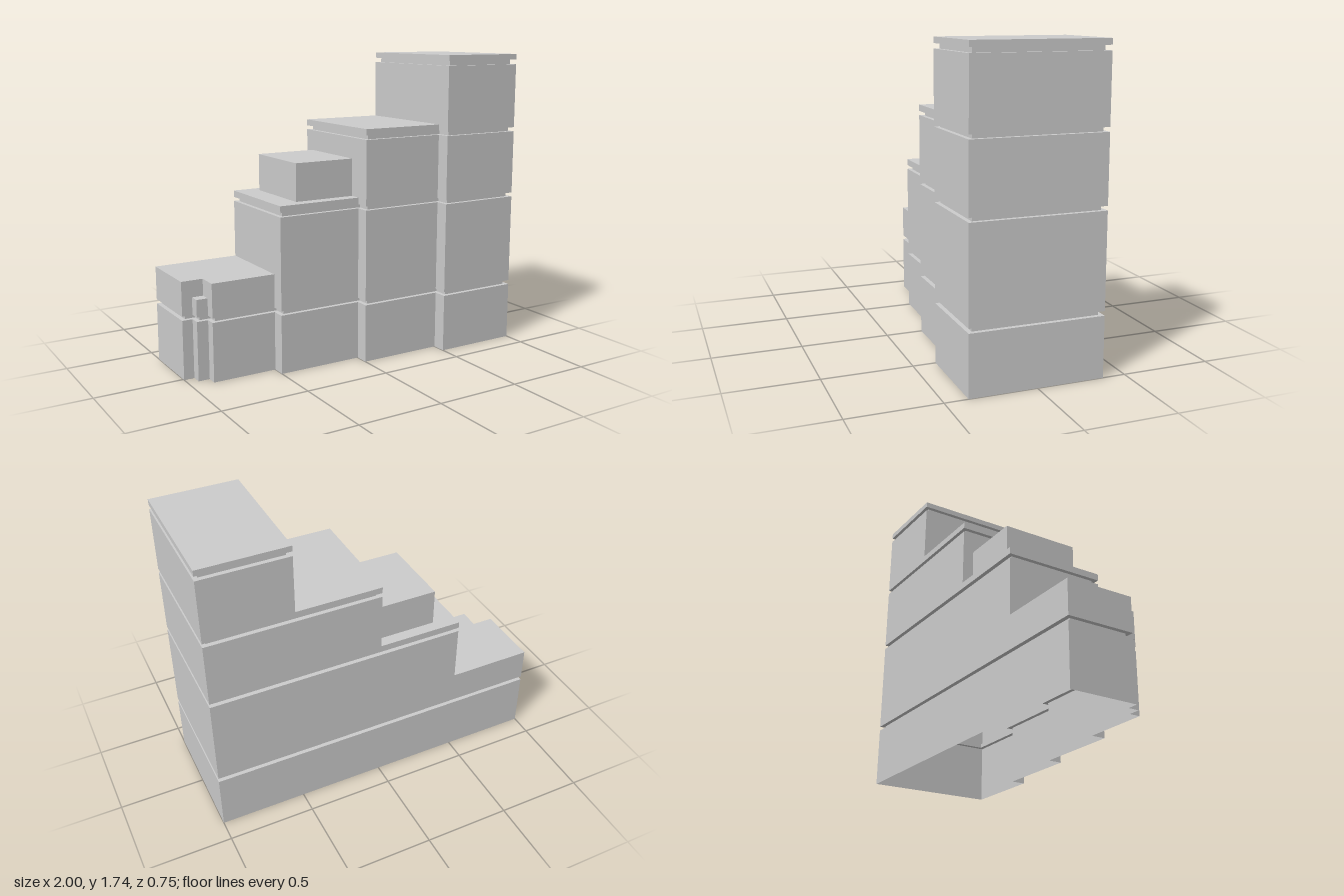
import * as THREE from 'three';
import { mergeGeometries } from 'three/addons/utils/BufferGeometryUtils.js';

const BACK = -0.373, INSET = 0.025;
// Front facade steps: left edge x and front z of each bay
const BAYS = [[-1, 0.01], [-0.94, 0.07], [-0.875, 0.13], [-0.5, 0.21], [0, 0.29], [0.5, 0.372]];

const material = new THREE.MeshStandardMaterial({ color: 0xcccccc, flatShading: true, side: THREE.DoubleSide });

// Plan outline [x, z] of all bays from index k to the right end, inset by d
function outline(k, d = 0) {
  const pts = [[BAYS[k][0] + d, BACK + d]];
  for (let i = k; i < BAYS.length; i++) {
    const z = BAYS[i][1] - d;
    pts.push([BAYS[i][0] + d, z], [i + 1 < BAYS.length ? BAYS[i + 1][0] + d : 1 - d, z]);
  }
  pts.push([1 - d, BACK + d]);
  return pts;
}

// Vertical walls along a plan polyline
function wall(pts, y0, y1, closed = false) {
  const pos = [];
  const path = closed ? [...pts, pts[0]] : pts;
  for (let i = 0; i + 1 < path.length; i++) {
    const [ax, az] = path[i], [bx, bz] = path[i + 1];
    pos.push(ax, y0, az, bx, y0, bz, bx, y1, bz, ax, y0, az, bx, y1, bz, ax, y1, az);
  }
  const g = new THREE.BufferGeometry();
  g.setAttribute('position', new THREE.Float32BufferAttribute(pos, 3));
  g.computeVertexNormals();
  return g;
}

// Horizontal slab face, optionally with a hole
function flat(pts, y, hole) {
  const v = (list) => list.map(([x, z]) => new THREE.Vector2(x, -z));
  const shape = new THREE.Shape(v(pts));
  if (hole) shape.holes.push(new THREE.Path(v(hole)));
  const g = new THREE.ShapeGeometry(shape).toNonIndexed().rotateX(-Math.PI / 2).translate(0, y, 0);
  g.deleteAttribute('uv');
  return g;
}

export function createModel() {
  const group = new THREE.Group();
  const add = (name, ...geos) => {
    const m = new THREE.Mesh(mergeGeometries(geos), material);
    m.name = name;
    group.add(m);
  };

  // Recessed joint between two storeys
  const groove = (k, y0, y1) => {
    const o = outline(k), n = outline(k, INSET);
    add('recessedJoint', flat(o, y0, n), wall(n, y0, y1, true), flat(o, y1, n));
  };

  // Storey walls of the taller part, starting above the lower wing's roof on its left
  const storey = (k, base, wingTop, top) => {
    const x = BAYS[k][0], zPrev = BAYS[k - 1][1];
    add('storeyWalls',
      wall([[x, zPrev], ...outline(k).slice(1), [x, BACK]], base, top),
      wall([[x, BACK], [x, zPrev]], wingTop, top));
  };

  // Single-bay terrace wing
  const terrace = (k, base, top) => {
    const [x, z] = BAYS[k], x1 = BAYS[k + 1][0];
    const p = [[x1, BACK], [x, BACK], [x, z], [x1, z]];
    add('terrace', wall(p, base, top), flat(p, top));
  };

  // Ground storey, open underneath
  add('groundStorey', wall(outline(0), 0, 0.337, true));
  groove(0, 0.337, 0.362);

  // Low left wing with its small stepped corner
  const b = 0.362, s = 0.46, t = 0.555;
  add('lowWing',
    wall([[-0.5, BACK], [-1, BACK], [-1, 0.01], [-0.94, 0.01]], b, t),
    wall([[-0.94, 0.01], [-0.875, 0.01], [-0.875, 0.07]], s, t),
    wall([[-0.875, 0.07], [-0.875, 0.13], [-0.5, 0.13]], b, t),
    flat([[-0.5, BACK], [-1, BACK], [-1, 0.01], [-0.875, 0.01], [-0.875, 0.13], [-0.5, 0.13]], t));
  add('cornerStep',
    wall([[-0.94, 0.01], [-0.94, 0.07], [-0.875, 0.07]], b, s),
    flat([[-0.94, 0.01], [-0.94, 0.07], [-0.875, 0.07], [-0.875, 0.01]], s));

  // Second storey
  storey(3, 0.362, 0.555, 0.888);
  groove(3, 0.888, 0.912);
  terrace(3, 0.912, 0.95);

  // Third storey
  storey(4, 0.912, 0.95, 1.285);
  groove(4, 1.285, 1.309);
  terrace(4, 1.309, 1.345);

  // Tower storey and its roof cap
  storey(5, 1.309, 1.345, 1.682);
  groove(5, 1.682, 1.709);
  add('towerRoof', wall(outline(5), 1.709, 1.742, true), flat(outline(5), 1.742));

  // Roof box on the lower terrace
  const box = new THREE.BoxGeometry(0.365, 0.215, 0.45).translate(-0.1825, 1.0575, -0.083);
  add('roofBox', box);
  return group;
}
